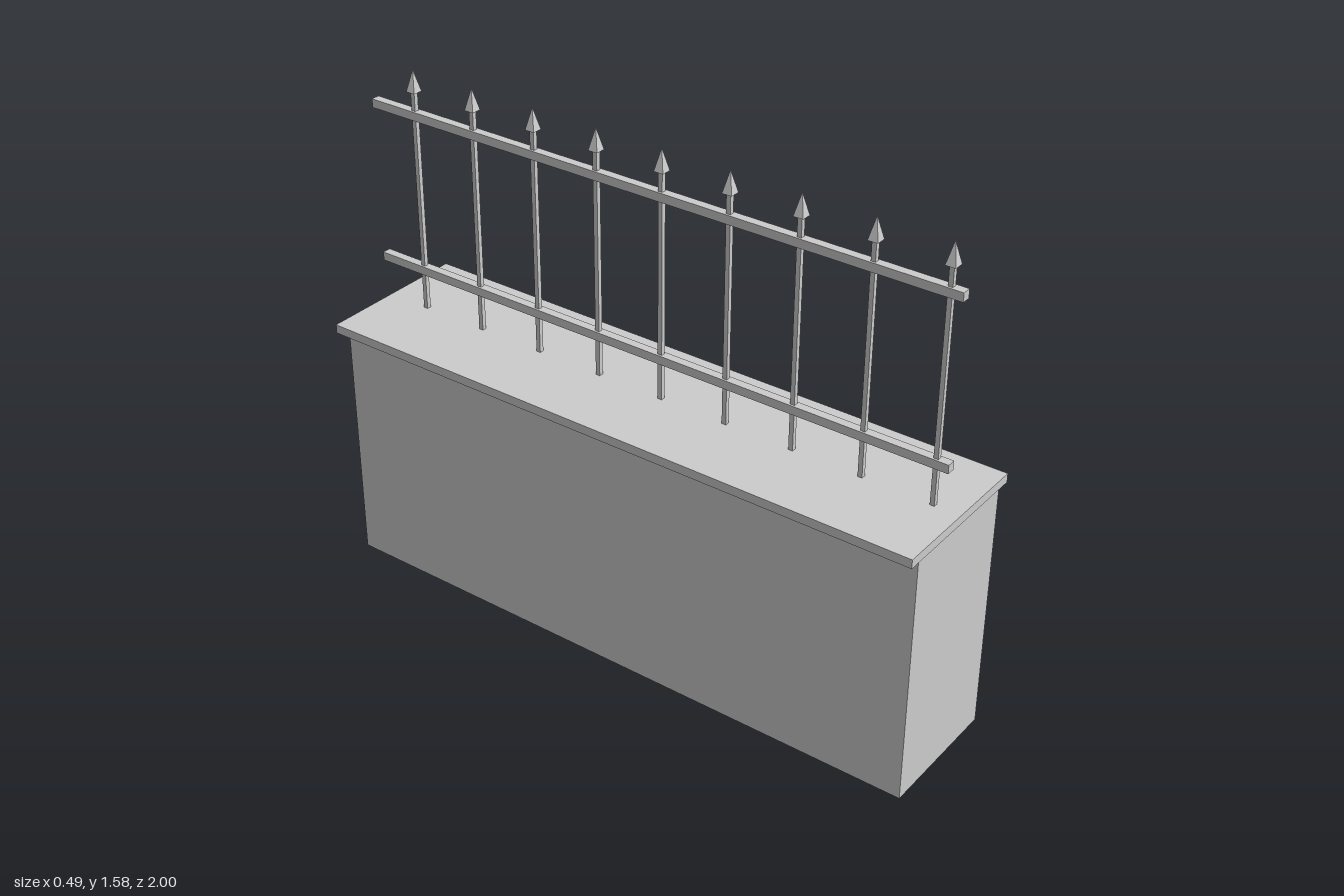
import * as THREE from 'three';

export function createModel() {
  const group = new THREE.Group();
  const material = new THREE.MeshStandardMaterial({ color: 0xcccccc, flatShading: true });

  const add = (name, geometry, x, y, z) => {
    const mesh = new THREE.Mesh(geometry, material);
    mesh.name = name;
    mesh.position.set(x, y, z);
    group.add(mesh);
  };

  // Box given by its width and its y and z ranges
  const addBox = (name, width, y0, y1, z0, z1, x = 0) =>
    add(name, new THREE.BoxGeometry(width, y1 - y0, z1 - z0), x, (y0 + y1) / 2, (z0 + z1) / 2);

  // Masonry base and overhanging coping slab
  addBox('wall', 0.413, 0, 0.787, -0.972, 0.998, -0.002);
  addBox('coping', 0.49, 0.787, 0.815, -0.988, 1);

  // Horizontal rails, running past the wall at the back
  addBox('lowerRail', 0.027, 0.932, 0.959, -1, 0.958);
  addBox('upperRail', 0.027, 1.43, 1.457, -1, 0.958);

  // Upright bars with four-sided spear points
  const tipBase = 1.515, tipTop = 1.582;
  const tip = new THREE.ConeGeometry(0.0155 * Math.SQRT2, tipTop - tipBase, 4);
  tip.rotateY(Math.PI / 4);
  for (let i = 0; i < 9; i++) {
    const z = 0.916 - i * 0.22;
    addBox('bar', 0.014, 0.81, tipBase, z - 0.007, z + 0.007);
    add('spearPoint', tip, 0, (tipBase + tipTop) / 2, z);
  }
  return group;
}
